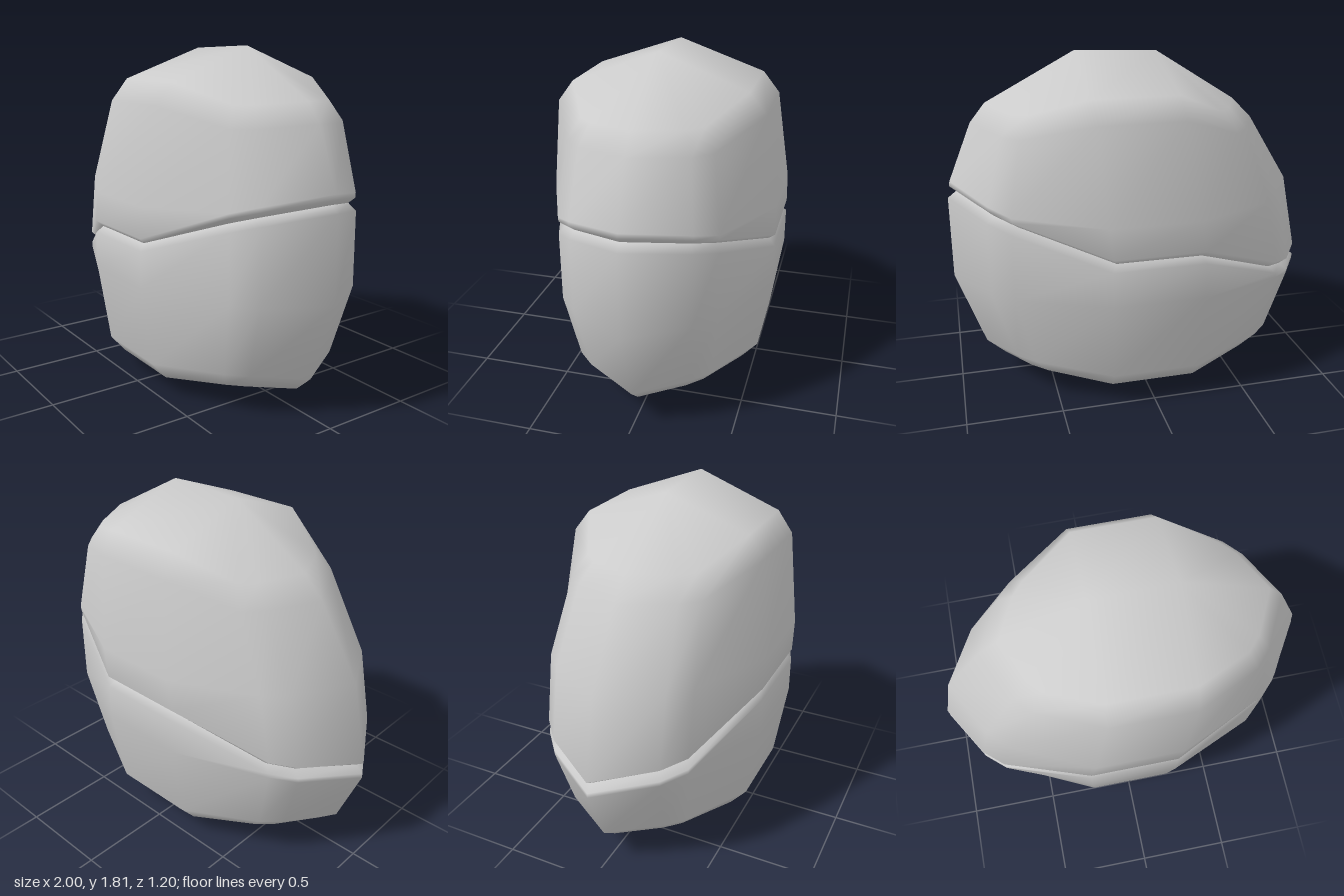
import * as THREE from 'three';
import { mergeVertices } from 'three/addons/utils/BufferGeometryUtils.js';

// Half outline of the boulder from its left tip to its right tip: [x, z, crack height]
const half = [
  [1, 0, 1.1], [0.82, 0.3, 1.045], [0.71, 0.4, 1.01], [0.24, 0.6, 0.845],
  [-0.24, 0.6, 0.845], [-0.71, 0.4, 0.655], [-0.82, 0.3, 0.625], [-1, 0, 0.58],
];
const outline = [...half, ...half.slice(1, -1).reverse().map(([x, z, c]) => [x, -z, c])];

// One cross-section loop. xl/xr: tips, fl/fr: ends of the flat long side, w: half width,
// y(x, z, crack): height at each outline point
function ring({ xl, xr, fl, fr, w, y }) {
  return outline.map(([x, z, crack]) => {
    const t = (Math.abs(x) - 0.24) / 0.76;
    const px = x > 0 ? fr + (xr - fr) * t : fl + (xl - fl) * t;
    return new THREE.Vector3(px, y(x, z, crack), z * w / 0.6);
  });
}

// Picks a height by region: left tip, right tip, long side, corners on the left and right
const heights = (left, right, side, cornerL, cornerR) => (x, z) => {
  if (Math.abs(z) < 0.01) return x > 0 ? right : left;
  if (Math.abs(x) < 0.3) return side;
  return x > 0 ? cornerR : cornerL;
};

// Ridge line closing the top or bottom
const ridge = (x0, y0, x1, y1) =>
  outline.map(([x]) => (x > 0 ? new THREE.Vector3(x1, y1, 0) : new THREE.Vector3(x0, y0, 0)));

// Joins loops from bottom to top into a smooth skin
function skin(rings, name, material) {
  const n = outline.length;
  const index = [];
  for (let j = 0; j < rings.length - 1; j++) {
    for (let i = 0; i < n; i++) {
      const a = j * n + i, b = j * n + (i + 1) % n;
      const d = a + n, c = b + n;
      index.push(a, d, b, b, d, c);
    }
  }
  let geometry = new THREE.BufferGeometry().setFromPoints(rings.flat());
  geometry.setIndex(index);
  geometry = mergeVertices(geometry, 1e-4);
  geometry.computeVertexNormals();
  const mesh = new THREE.Mesh(geometry, material);
  mesh.name = name;
  return mesh;
}

export function createModel() {
  const group = new THREE.Group();
  group.name = 'crackedBoulder';
  const stone = new THREE.MeshStandardMaterial({ color: 0xcccccc });

  const full = { xl: -1, xr: 1, fl: -0.24, fr: 0.24, w: 0.6 };
  const groove = ring({ xl: -0.955, xr: 0.955, fl: -0.22, fr: 0.22, w: 0.568, y: (x, z, c) => c });

  // Lower stone: bottom ridge, bevel, wall, lip and groove
  group.add(skin([
    ridge(-0.24, 0, 0.22, 0),
    ring({ xl: -0.76, xr: 0.75, fl: -0.23, fr: 0.22, w: 0.45, y: heights(0.11, 0.11, 0.09, 0.135, 0.135) }),
    ring({ xl: -0.87, xr: 0.85, fl: -0.23, fr: 0.23, w: 0.535, y: heights(0.2, 0.2, 0.19, 0.23, 0.23) }),
    ring({ ...full, y: (x, z, c) => Math.min(0.62, c - 0.06) }),
    ring({ ...full, y: (x, z, c) => c - 0.035 }),
    groove,
  ], 'lowerStone', stone));

  // Upper stone: groove, lip, wall leaning right, bevel and top ridge
  group.add(skin([
    groove,
    ring({ ...full, xr: 0.99, y: (x, z, c) => c + 0.03 }),
    ring({ xl: -0.91, xr: 0.985, fl: -0.21, fr: 0.26, w: 0.6, y: (x, z, c) => Math.max(1.04, c + 0.055) }),
    ring({ xl: -0.68, xr: 0.86, fl: -0.14, fr: 0.3, w: 0.535, y: heights(1.41, 1.46, 1.53, 1.41, 1.44) }),
    ring({ xl: -0.57, xr: 0.78, fl: -0.13, fr: 0.31, w: 0.45, y: heights(1.52, 1.56, 1.64, 1.515, 1.545) }),
    ridge(-0.13, 1.795, 0.31, 1.81),
  ], 'upperStone', stone));

  return group;
}
